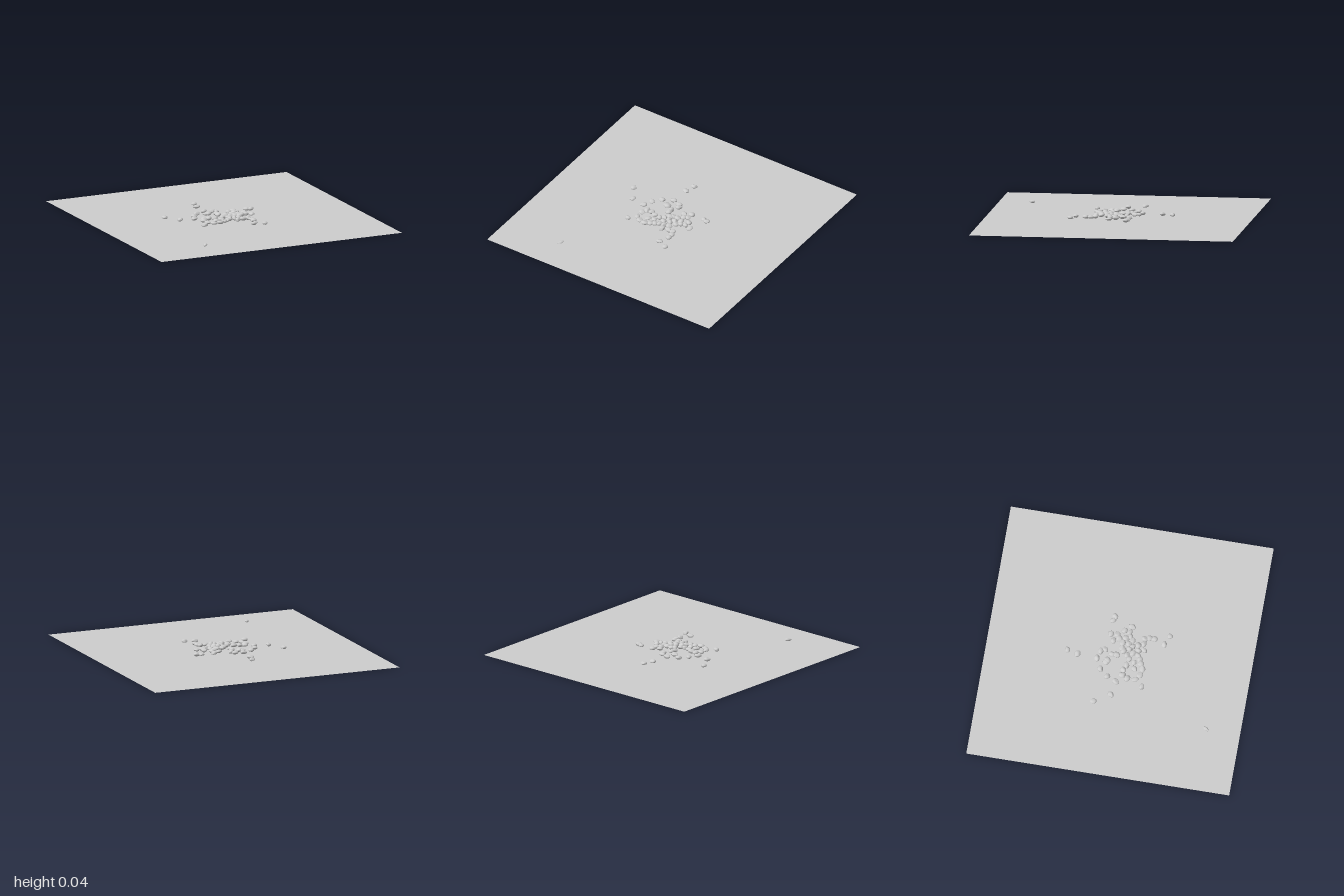
import * as THREE from 'three';
import { mergeVertices } from 'three/addons/utils/BufferGeometryUtils.js';

// Pebble positions on the ground, x and z in hundredths of a unit
const SCATTER = [
  [-6, -39], [-8, -31], [-43, -13], [-36, -1], [-25, 1], [-22, -6], [-17, -12], [-9, -16],
  [-3, -14], [-1, -11], [-11, -9], [-9, -8], [-4, -5], [-4, -2], [12, -9], [7, -6],
  [12, -4], [9, -2], [23, -9], [26, -8], [-26, 21], [-21, 15], [-17, 18], [-21, 9],
  [-19, 5], [-15, 5], [-11, 7], [-13, 13], [-12, 19], [-8, 17], [-5, 16], [-8, 12],
  [-6, 8], [-3, 6], [2, 1], [0, 3], [2, 7], [-1, 10], [4, 9], [6, 6],
  [6, 1], [10, 3], [12, 6], [16, 1], [15, 5], [20, 6], [9, 8], [6, 13],
  [2, 14], [-2, 14], [3, 18], [8, 17], [12, 17], [13, 20], [13, 24], [10, 32],
  [17, 35], [-51, 74],
];

function seeded(seed) {
  return () => {
    seed = (seed * 16807) % 2147483647;
    return seed / 2147483647;
  };
}

// Irregular smooth pebble: a sphere with a few random sides planed off
function pebbleGeometry(rand) {
  let geo = new THREE.IcosahedronGeometry(1, 3);
  geo.deleteAttribute('normal');
  geo.deleteAttribute('uv');
  geo = mergeVertices(geo);
  const cuts = Array.from({ length: 7 }, () => ({
    dir: new THREE.Vector3(rand() - 0.5, rand() - 0.5, rand() - 0.5).normalize(),
    depth: 0.68 + rand() * 0.2,
  }));
  const pos = geo.attributes.position;
  const v = new THREE.Vector3();
  for (let i = 0; i < pos.count; i++) {
    v.fromBufferAttribute(pos, i);
    for (const { dir, depth } of cuts) {
      const over = v.dot(dir) - depth;
      if (over > 0) v.addScaledVector(dir, -over * 0.9);
    }
    pos.setXYZ(i, v.x, v.y, v.z);
  }
  geo.computeVertexNormals();
  return geo;
}

export function createModel() {
  const group = new THREE.Group();
  const rand = seeded(4217);
  const grey = new THREE.MeshStandardMaterial({ color: 0xcccccc, side: THREE.DoubleSide });
  grey.name = 'stone grey';

  // Flat square ground sheet
  const ground = new THREE.Mesh(new THREE.PlaneGeometry(2, 2).rotateX(-Math.PI / 2), grey);
  ground.name = 'ground';
  group.add(ground);

  // Loose pebbles, a little higher towards the heart of the pile
  const pebbles = new THREE.Group();
  pebbles.name = 'pebbles';
  const shapes = Array.from({ length: 6 }, () => pebbleGeometry(rand));
  SCATTER.forEach(([cx, cz], i) => {
    const x = cx / 100, z = cz / 100;
    const pile = Math.max(0, 1 - Math.hypot(x - 0.01, z - 0.07) / 0.2);
    const pebble = new THREE.Mesh(shapes[i % shapes.length], grey);
    pebble.name = 'pebble';
    const height = 0.012 + rand() * 0.003 + pile * 0.004;
    pebble.scale.set(0.019 + rand() * 0.005, height, 0.024 + rand() * 0.006);
    pebble.position.set(x, 0.005 + height * 0.88 + pile * 0.004, z);
    pebble.rotation.y = rand() * Math.PI * 2;
    pebbles.add(pebble);
  });
  // The stray pebble lies long and slim
  const stray = pebbles.children[SCATTER.length - 1];
  stray.scale.set(0.014, 0.011, 0.026);
  stray.position.y = 0.016;
  stray.rotation.y = -0.6;
  group.add(pebbles);

  return group;
}
